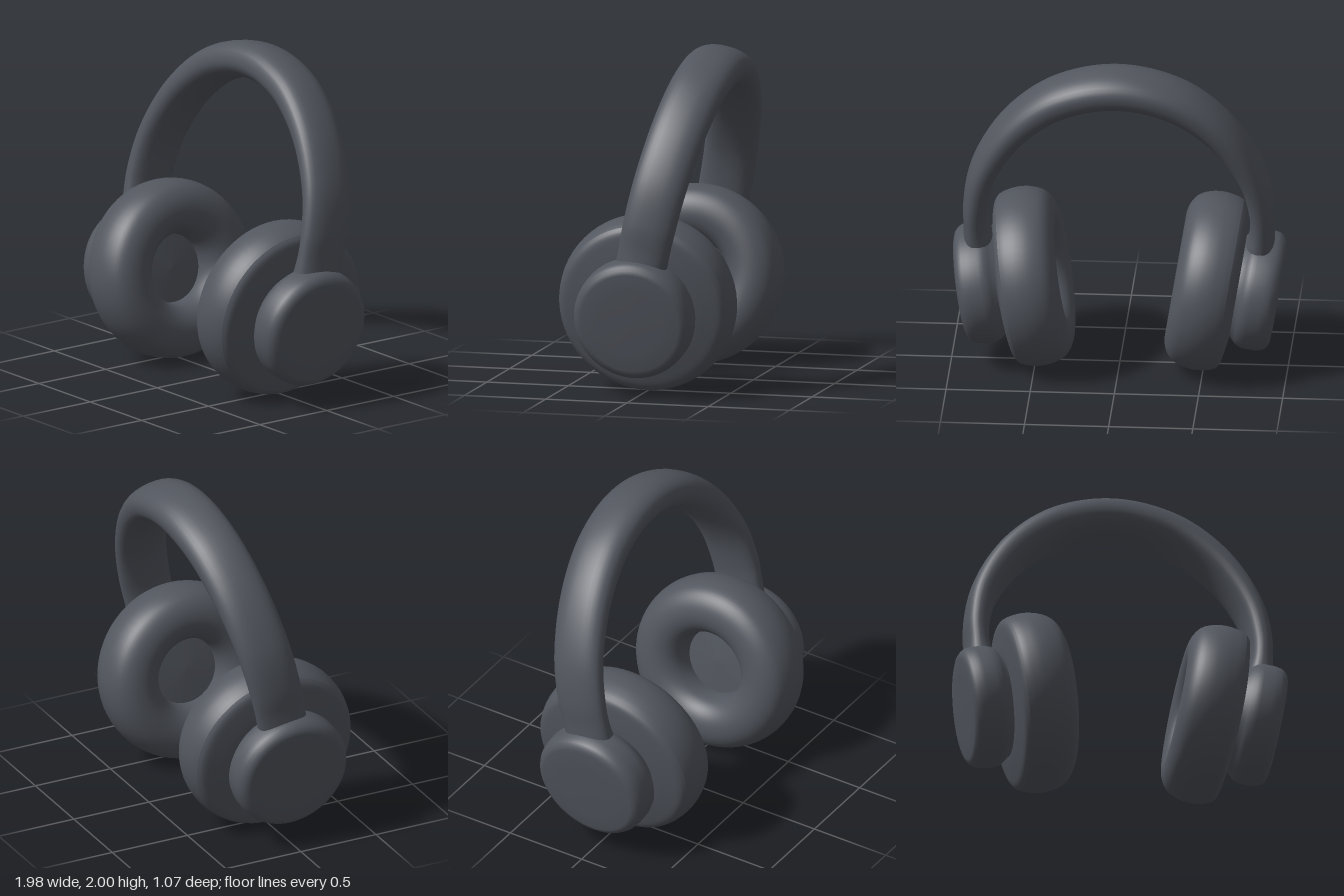
import * as THREE from 'three';

const TILT = 0.161;   // lean of the ear cups
const v2 = (pts) => pts.map(([r, u]) => new THREE.Vector2(r, u));
const smooth = (pts, n) => new THREE.SplineCurve(v2(pts)).getPoints(n)
  .map((p) => new THREE.Vector2(Math.max(p.x, 0), p.y));

// Ear cup profiles as [radius, distance outward along the cup axis]
const cushionProfile = smooth([
  [0.205, 0.03], [0.208, -0.04], [0.23, -0.11], [0.28, -0.16], [0.35, -0.182],
  [0.43, -0.17], [0.495, -0.125], [0.528, -0.05], [0.536, 0.03], [0.525, 0.1], [0.51, 0.14],
], 40);
const shellProfile = smooth([
  [0.51, 0.14], [0.48, 0.165], [0.41, 0.18], [0.3, 0.195], [0.15, 0.2], [0, 0.2],
], 20);
const speakerProfile = v2([[0, 0], [0.12, 0.005], [0.22, 0.01]]);
const capProfile = v2([
  [0.3, 0.17], [0.31, 0.2], [0.335, 0.226], [0.353, 0.25], [0.362, 0.285], [0.362, 0.35],
  [0.357, 0.385], [0.344, 0.41], [0.325, 0.427], [0.3, 0.436], [0.2, 0.441], [0, 0.442],
]);

// Headband: oval cross-section swept along an arch that leans backward
function headbandGeometry() {
  const half = [
    // x, y, half thickness, half width
    [0.825, 0.68, 0.1, 0.155], [0.84, 0.8, 0.086, 0.155], [0.85, 0.9, 0.073, 0.156],
    [0.85, 1.04, 0.075, 0.16], [0.80, 1.28, 0.083, 0.163], [0.64, 1.56, 0.095, 0.166],
    [0.42, 1.76, 0.106, 0.168], [0.21, 1.852, 0.11, 0.17],
  ];
  const rows = [...half, [0, 1.882, 0.112, 0.17],
    ...half.slice().reverse().map(([x, y, t, w]) => [-x, y, t, w])];
  const path = new THREE.CatmullRomCurve3(
    rows.map(([x, y]) => new THREE.Vector3(x, y, -0.055 - 0.213 * (y - 0.85))), false, 'centripetal');
  const size = new THREE.SplineCurve(rows.map((r) => new THREE.Vector2(r[2], r[3])));
  const across = new THREE.Vector3(0, 0.208, 0.978);
  const STEPS = 96, SIDES = 32, pos = [], idx = [];
  for (let i = 0; i <= STEPS; i++) {
    const t = i / STEPS;
    const p = path.getPoint(t), s = size.getPoint(t);
    const out = new THREE.Vector3().crossVectors(across, path.getTangent(t)).normalize();
    for (let j = 0; j < SIDES; j++) {
      const a = (j / SIDES) * Math.PI * 2, c = Math.cos(a), d = Math.sin(a);
      const e = 2 / 2.3;
      const q = p.clone()
        .addScaledVector(out, -s.x * Math.sign(c) * Math.abs(c) ** e)
        .addScaledVector(across, s.y * Math.sign(d) * Math.abs(d) ** e);
      pos.push(q.x, q.y, q.z);
      if (i < STEPS) {
        const k = i * SIDES + j, m = i * SIDES + (j + 1) % SIDES;
        idx.push(k, k + SIDES, m, m, k + SIDES, m + SIDES);
      }
    }
  }
  // Wind every face so that it looks outward from the arch
  const g = new THREE.BufferGeometry();
  g.setAttribute('position', new THREE.Float32BufferAttribute(pos, 3));
  g.setIndex(idx);
  g.computeVertexNormals();
  const mid = (STEPS / 2) * SIDES;
  const normals = g.attributes.normal;
  let top = mid;
  for (let j = mid; j < mid + SIDES; j++) if (pos[j * 3 + 1] > pos[top * 3 + 1]) top = j;
  if (normals.getY(top) < 0) {
    g.setIndex(idx.slice().reverse());
    g.computeVertexNormals();
  }
  return g;
}

export function createModel() {
  const model = new THREE.Group();
  model.name = 'headphones';
  const charcoal = new THREE.MeshStandardMaterial({ color: 0x52565e });
  charcoal.name = 'charcoal';

  const add = (parent, name, geometry) => {
    const mesh = new THREE.Mesh(geometry, charcoal);
    mesh.name = name;
    parent.add(mesh);
  };

  add(model, 'headband', headbandGeometry());

  // Two ear cups, each turned so its axis points outward and slightly down
  for (const [side, s] of [['left', 1], ['right', -1]]) {
    const cup = new THREE.Group();
    cup.name = side + 'EarCup';
    cup.position.set(s * 0.51, 0.54, 0);
    cup.rotation.z = -s * (Math.PI / 2 + TILT);
    add(cup, side + 'Cushion', new THREE.LatheGeometry(cushionProfile, 64));
    add(cup, side + 'SpeakerCover', new THREE.LatheGeometry(speakerProfile, 48));
    add(cup, side + 'BackShell', new THREE.LatheGeometry(shellProfile, 64));
    add(cup, side + 'OuterCap', new THREE.LatheGeometry(capProfile, 64));
    model.add(cup);
  }
  return model;
}
